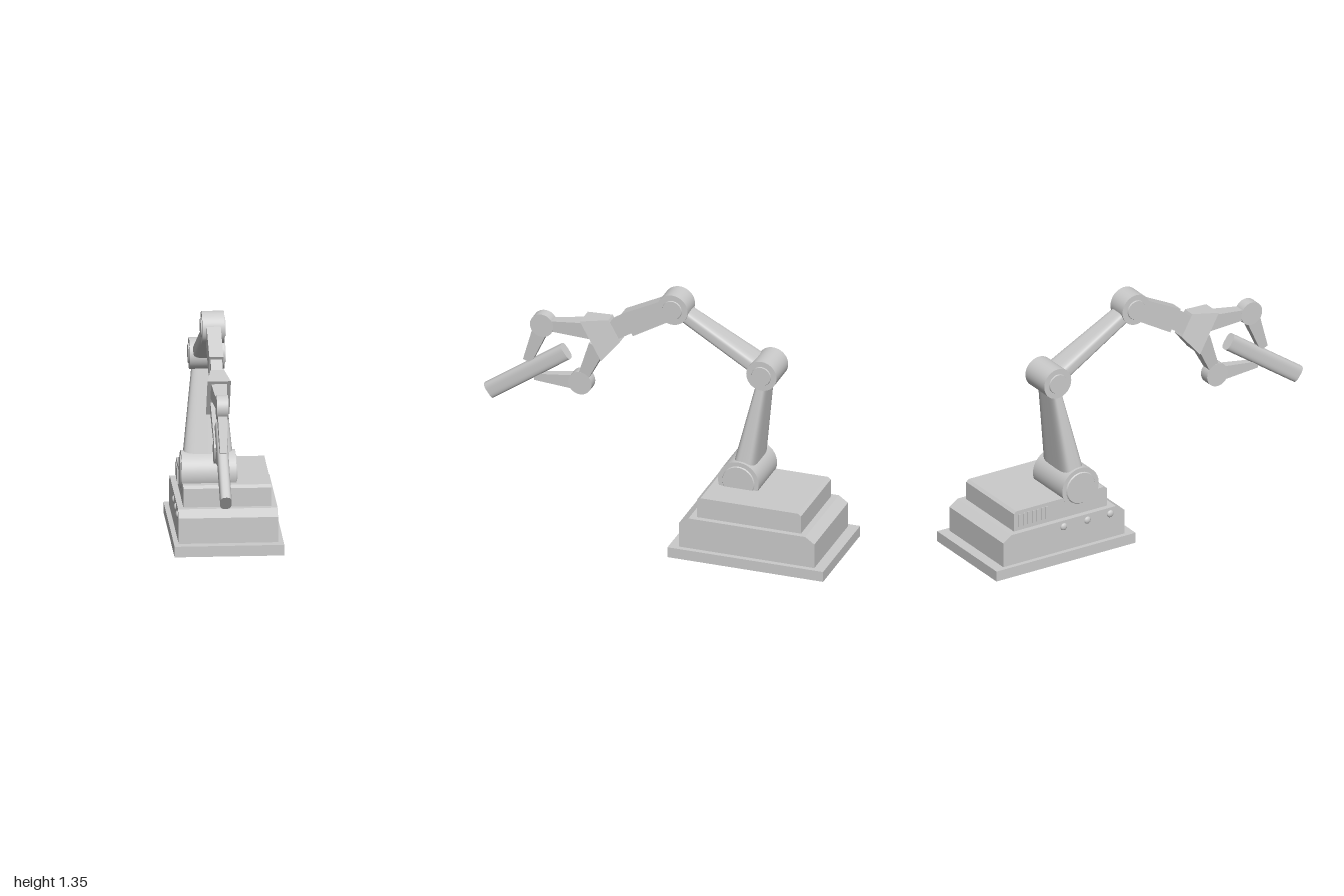
import * as THREE from 'three';

const material = new THREE.MeshStandardMaterial({ color: 0xcccccc, side: THREE.DoubleSide });
const ARM_X = -0.094;

export function createModel() {
  const model = new THREE.Group();
  model.name = 'robotArm';

  function add(name, geometry, x = 0, y = 0, z = 0) {
    const mesh = new THREE.Mesh(geometry, material);
    mesh.name = name;
    mesh.position.set(x, y, z);
    model.add(mesh);
    return mesh;
  }

  // Slab with a side outline in [z, y], extruded across x
  function slab(name, outline, x0, x1) {
    const shape = new THREE.Shape(outline.map(([z, y]) => new THREE.Vector2(-z, y)));
    const geometry = new THREE.ExtrudeGeometry(shape, { depth: x1 - x0, bevelEnabled: false });
    geometry.rotateY(Math.PI / 2);
    return add(name, geometry, x0);
  }

  // Tapered link between two [z, y] points; sizes are [width in x, thickness]
  function link(name, from, to, startSize, endSize, { x = ARM_X, endX = x, power = 0 } = {}) {
    const dz = to[0] - from[0], dy = to[1] - from[1];
    const length = Math.hypot(dz, dy);
    const geometry = power
      ? new THREE.CylinderGeometry(1, 1, length, 40)
      : new THREE.BoxGeometry(2, length, 2).toNonIndexed();
    const p = geometry.attributes.position;
    const round = (v) => (power ? Math.sign(v) * Math.abs(v) ** (2 / power) : v);
    for (let i = 0; i < p.count; i++) {
      const t = p.getY(i) / length + 0.5;
      const w = THREE.MathUtils.lerp(startSize[0], endSize[0], t) / 2;
      const d = THREE.MathUtils.lerp(startSize[1], endSize[1], t) / 2;
      p.setX(i, round(p.getX(i)) * w + (t - 0.5) * (endX - x));
      p.setZ(i, round(p.getZ(i)) * d);
    }
    geometry.computeVertexNormals();
    const mesh = add(name, geometry, (x + endX) / 2, (from[1] + to[1]) / 2, (from[0] + to[0]) / 2);
    mesh.rotation.x = Math.atan2(dz, dy);
    return mesh;
  }

  // Joint barrel across x with a recessed ring and a raised cap on both ends
  function joint(name, x0, x1, y, z, radius, capRadius) {
    const group = new THREE.Group();
    group.name = name;
    group.position.set((x0 + x1) / 2, y, z);
    const half = (x1 - x0) / 2, step = 0.008;
    const barrel = new THREE.Mesh(new THREE.CylinderGeometry(radius, radius, 2 * half - step, 48), material);
    barrel.name = 'barrel';
    barrel.rotation.z = Math.PI / 2;
    group.add(barrel);
    for (const side of [-1, 1]) {
      const cap = new THREE.Mesh(new THREE.CylinderGeometry(capRadius * 0.94, capRadius, step, 40), material);
      cap.name = 'jointCap';
      cap.rotation.z = -side * Math.PI / 2;
      cap.position.x = side * (half - step / 2 + 0.002);
      group.add(cap);
    }
    model.add(group);
  }

  // Stepped base
  slab('basePlate', [[-0.145, 0], [-0.145, 0.057], [-1, 0.057], [-1, 0]], -0.285, 0.285);
  slab('baseBody', [[-0.198, 0.057], [-0.198, 0.193], [-0.25, 0.228], [-0.892, 0.228],
    [-0.942, 0.193], [-0.942, 0.057]], -0.26, 0.257);
  slab('baseTop', [[-0.285, 0.228], [-0.285, 0.327], [-0.305, 0.34], [-0.843, 0.34],
    [-0.858, 0.327], [-0.858, 0.228]], -0.23, 0.227);

  // Control knobs and vent ribs on the right side
  for (const z of [-0.57, -0.425, -0.285]) {
    const knob = add('knob', new THREE.SphereGeometry(0.02, 20, 14), -0.259, 0.193, z);
    knob.scale.x = 0.6;
  }
  for (let i = 0; i < 7; i++) {
    add('ventRib', new THREE.BoxGeometry(0.01, 0.07, 0.012), -0.231, 0.285, -0.825 + i * 0.028);
  }

  // Main joints
  joint('shoulderJoint', -0.237, 0.053, 0.375, -0.45, 0.112, 0.09);
  joint('elbowJoint', -0.187, 0.002, 0.98, -0.558, 0.083, 0.054);
  joint('wristJoint', -0.156, -0.032, 1.262, -0.056, 0.084, 0.054);

  // Arm segments between the joints
  link('lowerArm', [-0.455, 0.4], [-0.556, 0.96], [0.27, 0.128], [0.156, 0.054], { x: -0.093, endX: -0.088, power: 4 });
  link('upperArm', [-0.54, 0.985], [-0.07, 1.25], [0.15, 0.08], [0.1, 0.07], { power: 4 });

  // Forearm, neck and flared hand bracket
  link('forearm', [-0.056, 1.262], [0.2, 1.123], [0.073, 0.115], [0.073, 0.134]);
  link('neck', [0.19, 1.128], [0.29, 1.065], [0.06, 0.1], [0.06, 0.1]);
  link('handBracket', [0.272, 1.075], [0.393, 1.008], [0.07, 0.132], [0.122, 0.24]);

  // Two jointed fingers
  const fingers = [
    { name: 'upperFinger', root: [0.40, 1.055], knuckle: [0.673, 1.037], tip: [0.757, 0.813], tipSize: [0.034, 0.048] },
    { name: 'lowerFinger', root: [0.365, 0.97], knuckle: [0.4625, 0.74], tip: [0.72, 0.728], tipSize: [0.034, 0.035] },
  ];
  for (const f of fingers) {
    link(f.name + 'Base', f.root, f.knuckle, [0.085, 0.092], [0.05, 0.05]);
    const knuckle = add(f.name + 'Knuckle', new THREE.CylinderGeometry(0.064, 0.064, 0.06, 36),
      ARM_X, f.knuckle[1], f.knuckle[0]);
    knuckle.rotation.z = Math.PI / 2;
    link(f.name + 'Tip', f.knuckle, f.tip, [0.055, 0.085], f.tipSize);
  }

  // Rod held between the fingers
  link('heldRod', [0.548, 0.898], [0.97, 0.604], [0.06, 0.092], [0.06, 0.092], { power: 3 });

  // Centre the depth on the origin
  const box = new THREE.Box3().setFromObject(model);
  const shift = (box.min.z + box.max.z) / 2;
  for (const child of model.children) child.position.z -= shift;
  return model;
}
